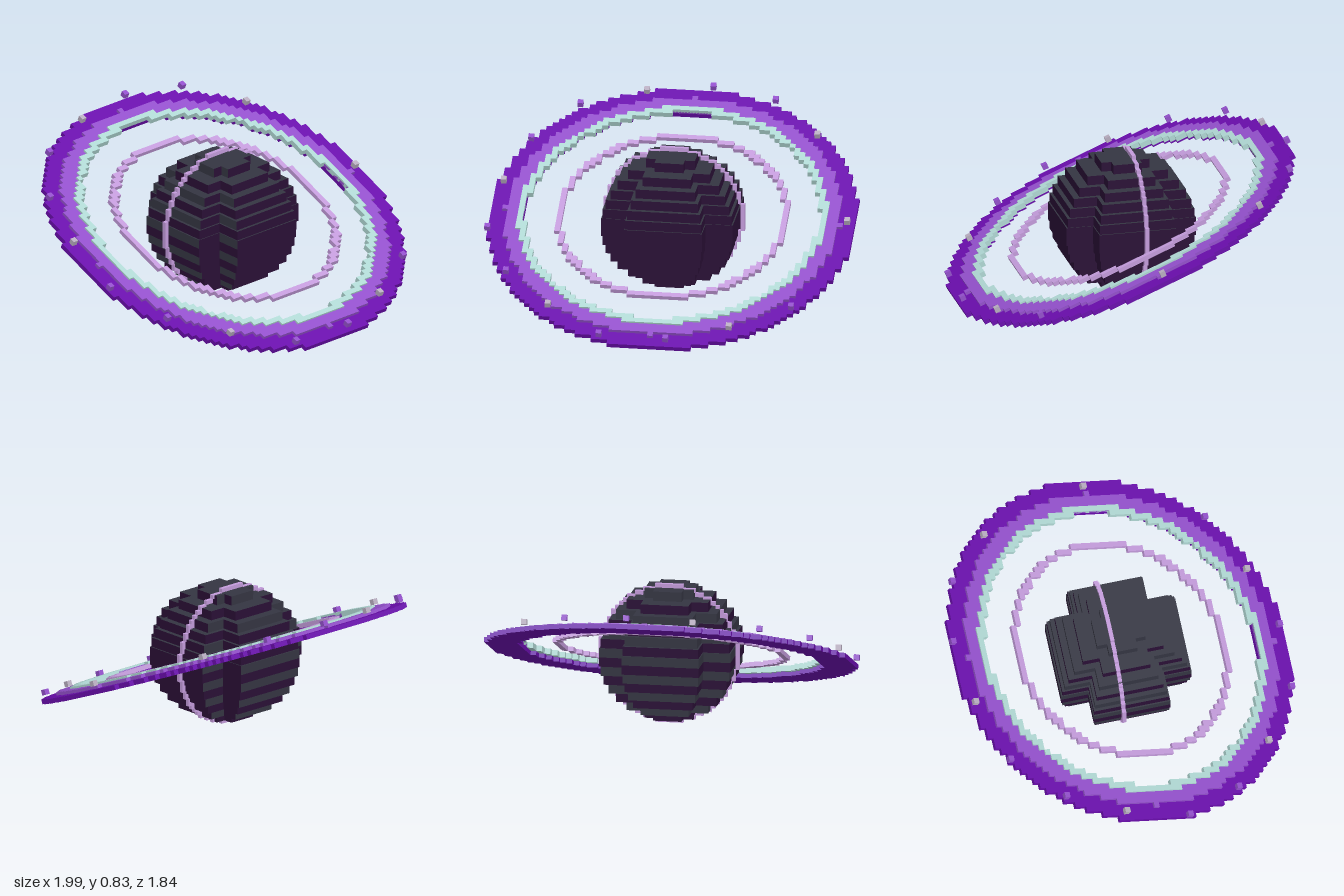
import * as THREE from 'three';
import { mergeGeometries } from 'three/addons/utils/BufferGeometryUtils.js';

const material = (name, color) => {
  const m = new THREE.MeshStandardMaterial({ color });
  m.name = name;
  return m;
};

// Flat ring of square cells, joined into one box per run, lying in the xz plane
function cellRing(inner, outer, cell, bottom, top) {
  const boxes = [];
  const n = Math.ceil(outer / cell) + 1;
  for (let j = -n; j <= n; j++) {
    let start = null;
    for (let i = -n; i <= n + 1; i++) {
      const r = Math.hypot(i, j) * cell;
      const inside = r >= inner && r <= outer;
      if (inside && start === null) start = i;
      if (!inside && start !== null) {
        const box = new THREE.BoxGeometry((i - start) * cell, top - bottom, cell);
        box.translate(((start + i - 1) / 2) * cell, (top + bottom) / 2, j * cell);
        boxes.push(box);
        start = null;
      }
    }
  }
  return mergeGeometries(boxes);
}

export function createModel() {
  const model = new THREE.Group();
  model.name = 'ringedPlanet';

  const plum = material('dark plum', 0x2a0f36);
  const slate = material('dark slate', 0x343542);
  const violet = material('violet', 0x6a0dad);
  const lilac = material('lilac', 0x9350cc);
  const mint = material('pale mint', 0xb0d8d4);
  const orchid = material('pale orchid', 0xc39bdb);
  const grey = material('mauve grey', 0xb8adc0);

  const add = (parent, name, geometry, mat) => {
    const mesh = new THREE.Mesh(geometry, mat);
    mesh.name = name;
    parent.add(mesh);
    return mesh;
  };

  // Planet: stacked cross-shaped layers following a sphere
  const planet = new THREE.Group();
  planet.name = 'planet';
  planet.position.set(-0.003, 0.41, -0.008);
  model.add(planet);
  const radius = 0.36, layers = 14, step = (2 * radius) / layers;
  for (let k = 0; k < layers; k++) {
    const y = (k + 0.5) * step - radius;
    const r = Math.sqrt(radius * radius - y * y);
    const side = k % 2 ? slate : plum;
    const faces = [plum, side, slate, plum, plum, side];
    for (const [w, d] of [[r, r * 0.59], [r * 0.59, r]]) {
      add(planet, 'planetLayer', new THREE.BoxGeometry(2 * w, step, 2 * d), faces).position.y = y;
    }
  }

  // Upright band around the planet
  const band = add(model, 'meridianBand', cellRing(0.359, 0.381, 0.022, -0.011, 0.011), orchid);
  band.rotation.x = Math.PI / 2;
  band.position.set(0, 0.41, -0.055);

  // Tilted ring system
  const rings = new THREE.Group();
  rings.name = 'rings';
  rings.position.y = 0.393;
  const tilt = Math.PI / 8;
  rings.rotation.x = tilt;
  model.add(rings);
  const cell = 0.0304;
  add(rings, 'outerRing', cellRing(0.82, 0.998, cell, -0.013, 0.013), violet);
  add(rings, 'middleRing', cellRing(0.82, 0.912, cell, 0.013, 0.03), lilac);
  add(rings, 'paleRing', cellRing(0.797, 0.835, cell, 0.01, 0.04), mint);
  add(rings, 'innerRing', cellRing(0.602, 0.634, cell, 0.01, 0.034), orchid);

  // Small rocks floating over the rim: x, z as seen from above, pale or not
  const rocks = [
    [-0.265, -0.85, 1], [0.09, -0.9, 0], [0.44, -0.83, 0], [0.7, -0.6, 1],
    [-0.61, -0.73, 0], [-0.84, -0.47, 0], [-0.945, -0.16, 1], [-0.985, 0.18, 0],
    [-0.84, 0.48, 0], [-0.58, 0.7, 1], [-0.275, 0.89, 0], [0.09, 0.9, 0],
    [0.42, 0.79, 1], [0.735, 0.625, 0], [0.95, 0, 1],
  ];
  const height = 0.045;
  const cube = new THREE.BoxGeometry(0.03, 0.03, 0.03);
  for (const [x, z, pale] of rocks) {
    const rock = add(rings, 'rimRock', cube, pale ? grey : lilac);
    // Tilting carries the raised rocks forward, so allow for it
    rock.position.set(x, height, (z + height * Math.sin(tilt) * -1) / Math.cos(tilt));
  }

  // The rings rise toward the back
  return model;
}
